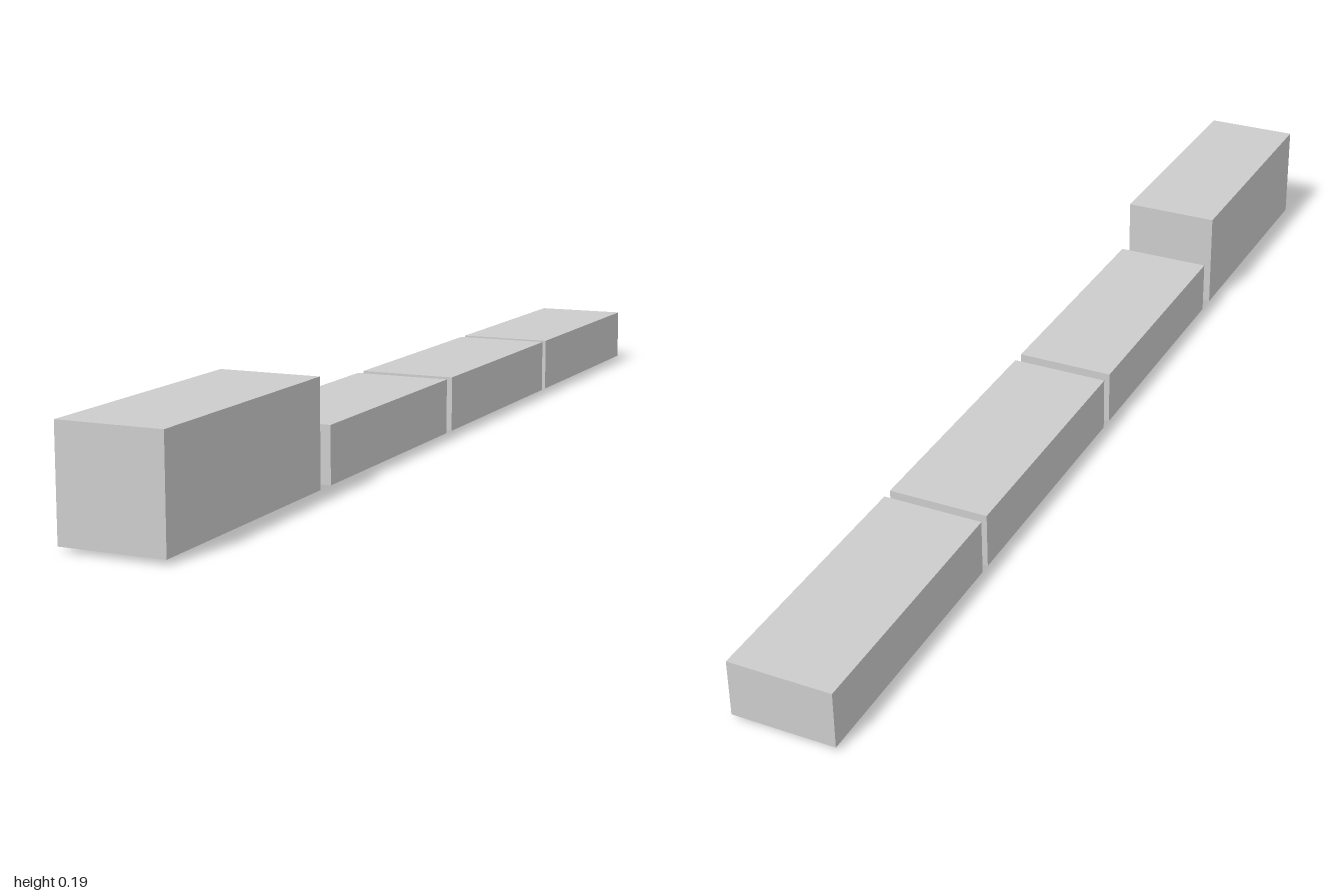
import * as THREE from 'three';

const WIDTH = 0.18;
const FLOOR = 0.008; // underside of every body

export function createModel() {
  const group = new THREE.Group();
  const material = new THREE.MeshStandardMaterial({ color: 0xcccccc, flatShading: true });

  // Box body spanning zBack..zFront, standing on the floor height
  function addBody(name, zBack, zFront, top) {
    const body = new THREE.Mesh(new THREE.BoxGeometry(WIDTH, top - FLOOR, zFront - zBack), material);
    body.name = name;
    body.position.set(0, (top + FLOOR) / 2, (zBack + zFront) / 2);
    group.add(body);
  }

  // Tall locomotive and the low wagons behind it
  addBody('locomotive', 0.521, 1, 0.193);
  [[0.003, 0.484], [-0.501, -0.021], [-0.999, -0.52]].forEach(([back, front], i) => {
    addBody(`wagon${i + 1}`, back, front, 0.108);
  });

  // Small wheels peeping out beneath the locomotive, along its left side
  const radius = 0.013;
  const wheelGeometry = new THREE.CylinderGeometry(radius, radius, 0.007, 16).rotateZ(Math.PI / 2);
  [0.96, 0.905, 0.617, 0.56].forEach((z, i) => {
    const wheel = new THREE.Mesh(wheelGeometry, material);
    wheel.name = `wheel${i + 1}`;
    wheel.position.set(0.053, radius, z);
    group.add(wheel);
  });

  return group;
}
